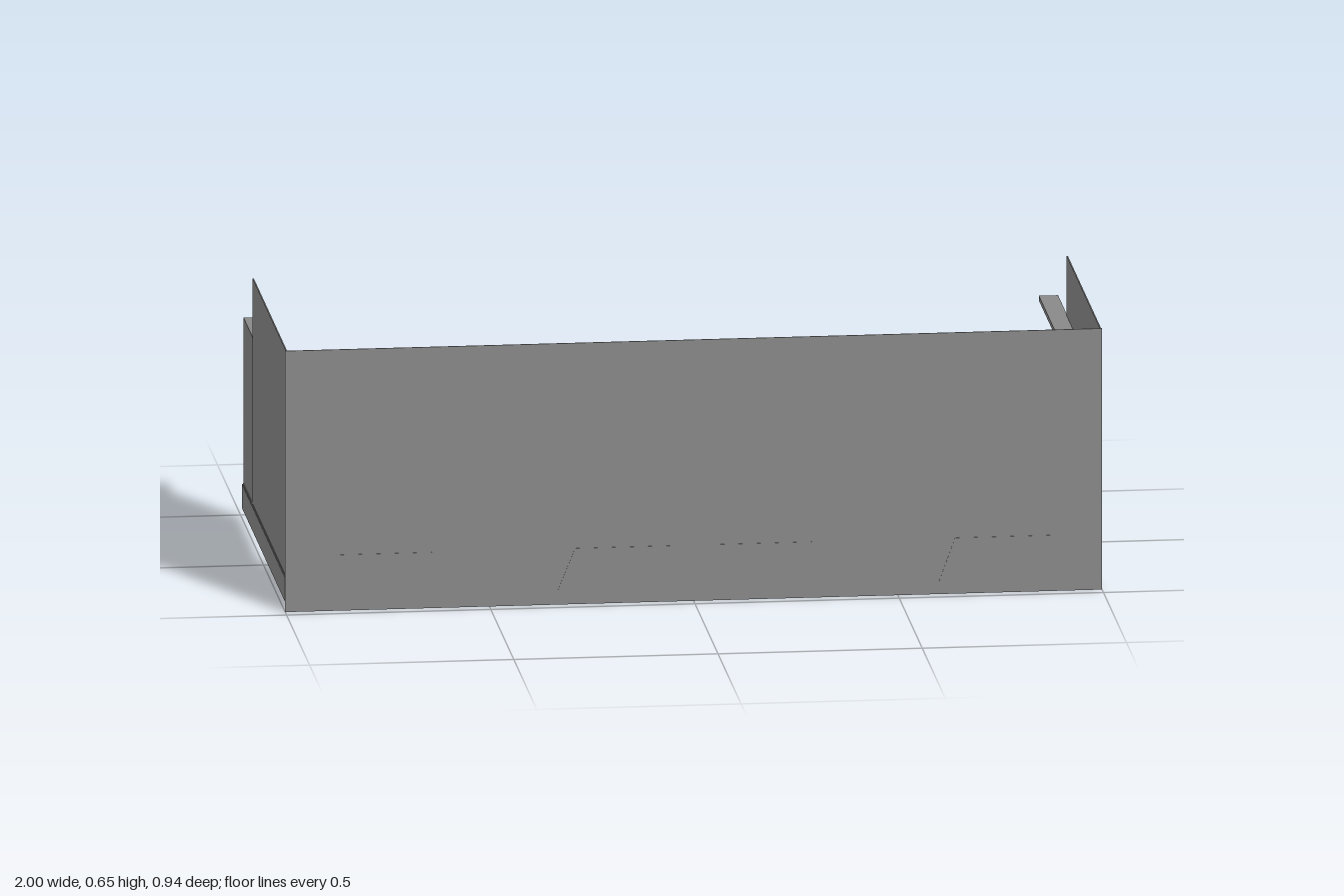
import * as THREE from 'three';

export function createModel() {
  const model = new THREE.Group();
  model.name = 'counterWalls';
  const grey = new THREE.MeshStandardMaterial({ color: 0x888888, side: THREE.DoubleSide });
  grey.name = 'grey';

  const add = (parent, name, geometry) => {
    const mesh = new THREE.Mesh(geometry, grey);
    mesh.name = name;
    parent.add(mesh);
    return mesh;
  };

  // Box given by its limits on each axis
  const block = (parent, name, x0, x1, y0, y1, z0, z1) => {
    const mesh = add(parent, name, new THREE.BoxGeometry(x1 - x0, y1 - y0, z1 - z0));
    mesh.position.set((x0 + x1) / 2, (y0 + y1) / 2, (z0 + z1) / 2);
  };

  // Flat outline pushed out by a depth along z
  const extrude = (points, depth) => new THREE.ExtrudeGeometry(
    new THREE.Shape(points.map(([x, y]) => new THREE.Vector2(x, y))),
    { depth, bevelEnabled: false });

  // Long front wall
  block(model, 'frontWall', -1, 1, 0, 0.655, 0.467, 0.47);

  for (const side of [1, -1]) {
    // Shallow plates along the foot of the front wall, with one slanted end
    const inner = [[0.04, 0.03], [0.335, 0.03], [0.29, 0.14], [0.04, 0.14]];
    const outer = [[0.6, 0.03], [0.89, 0.03], [0.89, 0.14], [0.64, 0.14]];
    for (const outline of [inner, outer]) {
      const points = outline.map(([x, y]) => [x * side, y]);
      add(model, 'footPlate', extrude(points, 0.005)).position.z = 0.466;
    }

    // Side wall, built for +x and turned round for -x by its limits
    const wall = new THREE.Group();
    wall.name = side > 0 ? 'leftWall' : 'rightWall';
    model.add(wall);
    const part = (name, x0, x1, ...rest) =>
      block(wall, name, Math.min(x0 * side, x1 * side), Math.max(x0 * side, x1 * side), ...rest);

    part('tallPanel', 0.995, 0.998, 0.085, 0.655, -0.255, 0.468);
    part('lowPanel', 0.994, 0.997, 0.085, 0.505, -0.46, -0.255);
    part('baseboard', 0.996, 1, 0.025, 0.085, -0.47, 0.47);
    part('baseBead', 0.992, 0.999, 0.085, 0.09, -0.46, 0.467);
    part('cornerStrip', 0.993, 0.999, 0.085, 0.505, -0.261, -0.254);

    // Raised panel on a thin backing
    part('panelBacking', 0.99, 0.995, 0.16, 0.472, -0.245, 0.46);
    part('raisedPanel', 0.965, 0.99, 0.18, 0.435, -0.205, 0.388);

    // Rail with a sloped underside
    const rail = [[0.997, 0.505], [0.95, 0.505], [0.95, 0.493], [0.972, 0.475], [0.997, 0.475]];
    add(wall, 'rail', extrude(rail.map(([x, y]) => [x * side, y]), 0.925)).position.z = -0.46;
  }
  return model;
}
